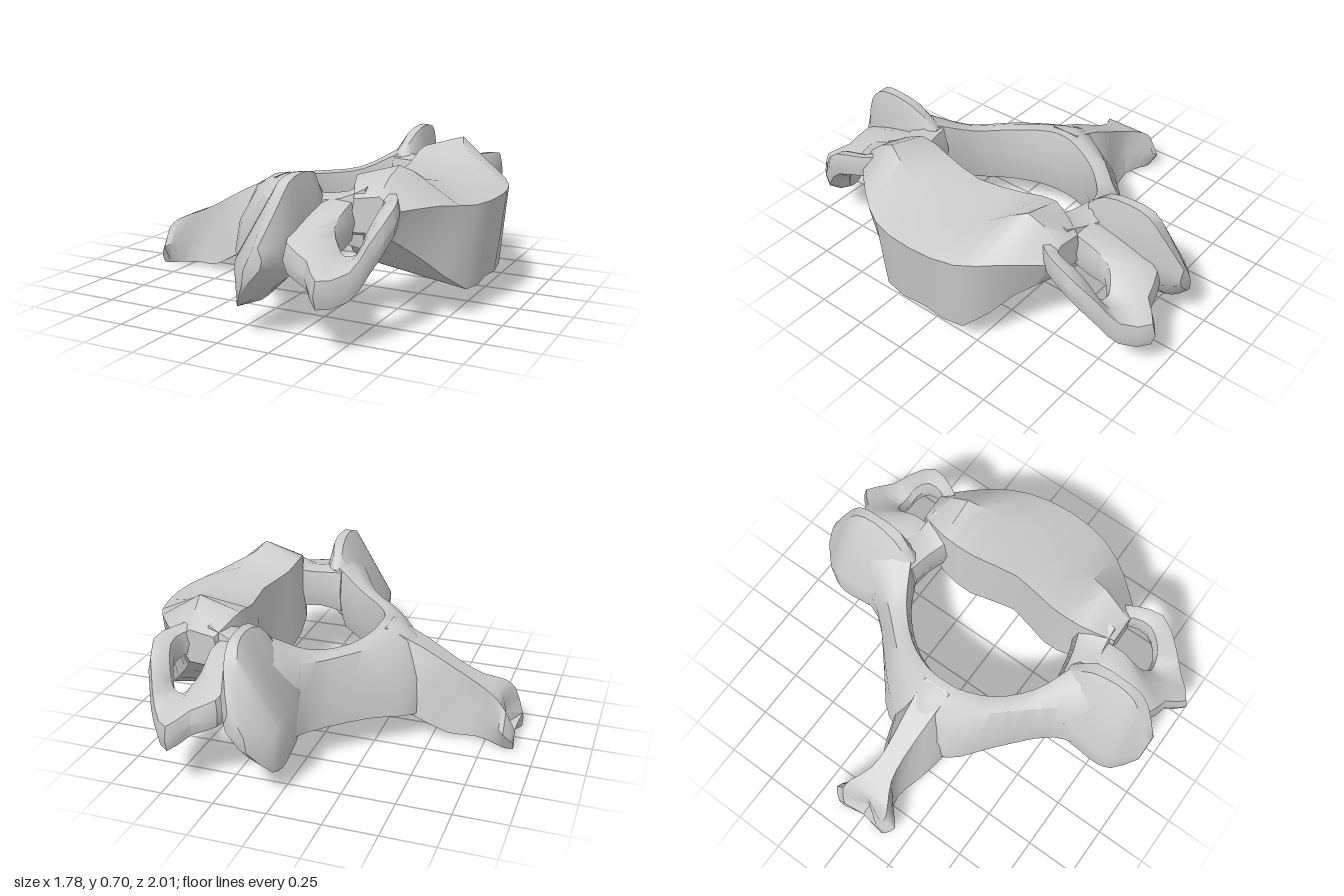
import * as THREE from 'three';
import { mergeVertices, toCreasedNormals } from 'three/addons/utils/BufferGeometryUtils.js';

const V = (x, y, z) => new THREE.Vector3(x, y, z);
const material = new THREE.MeshStandardMaterial({ color: 0xcccccc, side: THREE.DoubleSide });

// Resample a list of points with a curve that passes through all of them
function resample(points, steps, closed) {
  const curve = new THREE.CatmullRomCurve3(points, closed, 'centripetal');
  const n = (closed ? points.length : points.length - 1) * steps;
  return Array.from({ length: closed ? n : n + 1 }, (_, i) => curve.getPoint(i / n));
}

// Capped skin over matching rings of points; around/along add rounding steps
function loft(rings, around = 1, along = 1, crease = 0.7) {
  if (around > 1) rings = rings.map((r) => resample(r, around, true));
  if (along > 1) {
    const rails = rings[0].map((_, j) => resample(rings.map((r) => r[j]), along, false));
    rings = rails[0].map((_, i) => rails.map((rail) => rail[i]));
  }
  const n = rings[0].length;
  const pts = rings.flat();
  const index = [];
  for (let i = 0; i < rings.length - 1; i++) {
    for (let j = 0; j < n; j++) {
      const a = i * n + j, b = i * n + (j + 1) % n;
      index.push(a, b, b + n, a, b + n, a + n);
    }
  }
  // End caps fan out from the middle of the first and last ring
  [rings[0], rings[rings.length - 1]].forEach((ring, end) => {
    const mid = ring.reduce((s, p) => s.add(p), V(0, 0, 0)).divideScalar(n);
    const c = pts.push(mid) - 1, base = end ? (rings.length - 1) * n : 0;
    for (let j = 0; j < n; j++) {
      const a = base + j, b = base + (j + 1) % n;
      index.push(c, ...(end ? [a, b] : [b, a]));
    }
  });
  // Turn every face outwards, whichever way the rings run
  let volume = 0;
  for (let i = 0; i < index.length; i += 3) {
    volume += pts[index[i]].dot(V(0, 0, 0).crossVectors(pts[index[i + 1]], pts[index[i + 2]]));
  }
  if (volume < 0) index.reverse();
  const geo = new THREE.BufferGeometry().setFromPoints(pts);
  geo.setIndex(index);
  return toCreasedNormals(mergeVertices(geo, 1e-4), crease);
}

const flip = (rings) => rings.map((r) => r.map((p) => V(p.x, p.y, -p.z)));
// Full set of rings from a half that ends at the middle plane
const bothSides = (half) => [...half, ...flip(half.slice(0, -1)).reverse()];
// Ring in a plane of constant z, from x, y pairs
const sliceZ = ([z, ...xy]) => xy.map(([x, y]) => V(x, y, z));

export function createModel() {
  const group = new THREE.Group();
  const add = (name, geo) => {
    const mesh = new THREE.Mesh(geo, material);
    mesh.name = name;
    group.add(mesh);
  };
  const addPair = (name, rings, ...opts) => {
    add(name + 'Left', loft(flip(rings), ...opts));
    add(name + 'Right', loft(rings, ...opts));
  };

  // Vertebral body: saddle-shaped top with raised side lips
  const body = [
    [0.56, [0.40, 0.43], [0.55, 0.44], [0.61, 0.54], [0.54, 0.60], [0.42, 0.58]],
    [0.40, [0.34, 0.30], [0.66, 0.31], [0.75, 0.55], [0.56, 0.71], [0.36, 0.65]],
    [0.23, [0.35, 0.21], [0.82, 0.14], [0.855, 0.53], [0.62, 0.62], [0.37, 0.62]],
    [0, [0.41, 0.20], [0.83, 0.14], [0.89, 0.53], [0.64, 0.59], [0.41, 0.61]],
  ].map(sliceZ);
  add('vertebralBody', loft(bothSides(body), 1, 2, 0.75));

  // Neural arch: sloping plates that meet at the back
  const arch = [
    [V(0.18, 0.58, 0.47), V(0.10, 0.54, 0.66), V(0.01, 0.20, 0.70), V(0.15, 0.24, 0.49)],
    [V(0.02, 0.50, 0.38), V(-0.03, 0.48, 0.46), V(-0.03, 0.17, 0.55), V(0.01, 0.20, 0.40)],
    [V(-0.12, 0.49, 0.24), V(-0.19, 0.48, 0.28), V(-0.25, 0.17, 0.34), V(-0.12, 0.18, 0.25)],
    [V(-0.19, 0.51, 0.09), V(-0.32, 0.47, 0.11), V(-0.42, 0.14, 0.18), V(-0.19, 0.17, 0.10)],
    [V(-0.20, 0.52, 0), V(-0.38, 0.46, 0), V(-0.44, 0.12, 0), V(-0.20, 0.17, 0)],
  ];
  add('neuralArch', loft(bothSides(arch), 2, 3));

  // Spinous process: x, notch depth, top y, bottom y, half widths at top, middle and bottom
  const spine = [
    [-0.24, 0, 0.52, 0.17, 0.07, 0.12, 0.15],
    [-0.42, 0, 0.44, 0.12, 0.06, 0.13, 0.16],
    [-0.58, 0, 0.35, 0.03, 0.05, 0.07, 0.11],
    [-0.70, 0, 0.29, 0.02, 0.06, 0.06, 0.08],
    [-0.80, 0, 0.25, 0.015, 0.11, 0.14, 0.11],
    [-0.85, 0.03, 0.20, 0.01, 0.13, 0.18, 0.13],
    [-0.895, 0.07, 0.09, 0.005, 0.10, 0.14, 0.12],
  ].map(([x, notch, t, b, wt, wm, wb]) => {
    const m = b + (t - b) * 0.5;
    return [
      V(x + notch, t - notch * 0.4, 0), V(x, t, wt), V(x, m, wm), V(x, b, wb),
      V(x + notch, b, 0), V(x, b, -wb), V(x, m, -wm), V(x, t, -wt),
    ];
  });
  add('spinousProcess', loft(spine, 1, 2));

  // Articular pillars: tall blocks with a peaked top and flat rear facet
  const pillar = [
    [0.46, [0.08, 0.30], [0.18, 0.33], [0.26, 0.42], [0.25, 0.52], [0.20, 0.57], [0.17, 0.56], [0.08, 0.45]],
    [0.57, [0.01, 0.18], [0.12, 0.21], [0.27, 0.37], [0.28, 0.52], [0.24, 0.68], [0.19, 0.67], [0.00, 0.39]],
    [0.70, [0.00, 0.14], [0.11, 0.17], [0.25, 0.31], [0.28, 0.50], [0.24, 0.70], [0.20, 0.70], [-0.01, 0.37]],
    [0.80, [0.00, 0.12], [0.10, 0.15], [0.25, 0.31], [0.27, 0.48], [0.24, 0.68], [0.19, 0.68], [-0.01, 0.35]],
    [0.87, [0.02, 0.13], [0.10, 0.17], [0.24, 0.33], [0.25, 0.46], [0.23, 0.60], [0.17, 0.57], [0.01, 0.31]],
    [0.96, [0.10, 0.26], [0.13, 0.27], [0.19, 0.34], [0.20, 0.38], [0.18, 0.43], [0.15, 0.41], [0.11, 0.33]],
  ].map(sliceZ);
  addPair('articularPillar', flip(pillar), 1, 2);

  // Pedicles: x, z range and y range between pillar and body
  const pedicle = [
    [0.16, 0.45, 0.60, 0.34, 0.56], [0.26, 0.43, 0.57, 0.37, 0.56],
    [0.35, 0.40, 0.54, 0.37, 0.57], [0.46, 0.36, 0.53, 0.35, 0.62],
  ].map(([x, z0, z1, y0, y1]) => [V(x, y0, -z0), V(x, y1, -z0), V(x, y1, -z1), V(x, y0, -z1)]);
  addPair('pedicle', pedicle, 2, 2);

  // Transverse processes: a bar looping round an open hole
  // inner x, z, y; outer x, z, y; thickness
  const transverse = [
    [0.40, 0.51, 0.48, 0.22, 0.52, 0.46, 0.16],
    [0.41, 0.62, 0.46, 0.22, 0.68, 0.42, 0.17],
    [0.41, 0.72, 0.42, 0.27, 0.88, 0.38, 0.13],
    [0.45, 0.76, 0.36, 0.38, 0.91, 0.33, 0.12],
    [0.48, 0.77, 0.33, 0.46, 0.99, 0.28, 0.12],
    [0.53, 0.76, 0.34, 0.56, 0.89, 0.30, 0.12],
    [0.56, 0.73, 0.42, 0.61, 0.81, 0.40, 0.13],
    [0.585, 0.66, 0.51, 0.66, 0.68, 0.53, 0.12],
    [0.57, 0.57, 0.53, 0.62, 0.55, 0.55, 0.11],
    [0.49, 0.50, 0.54, 0.56, 0.46, 0.55, 0.12],
  ].map(([ix, iz, iy, ox, oz, oy, t]) => {
    const h = t / 2;
    return [V(ix, iy + h, -iz), V(ox, oy + h, -oz), V(ox, oy - h, -oz), V(ix, iy - h, -iz)];
  });
  addPair('transverseProcess', transverse, 2, 2);

  return group;
}
